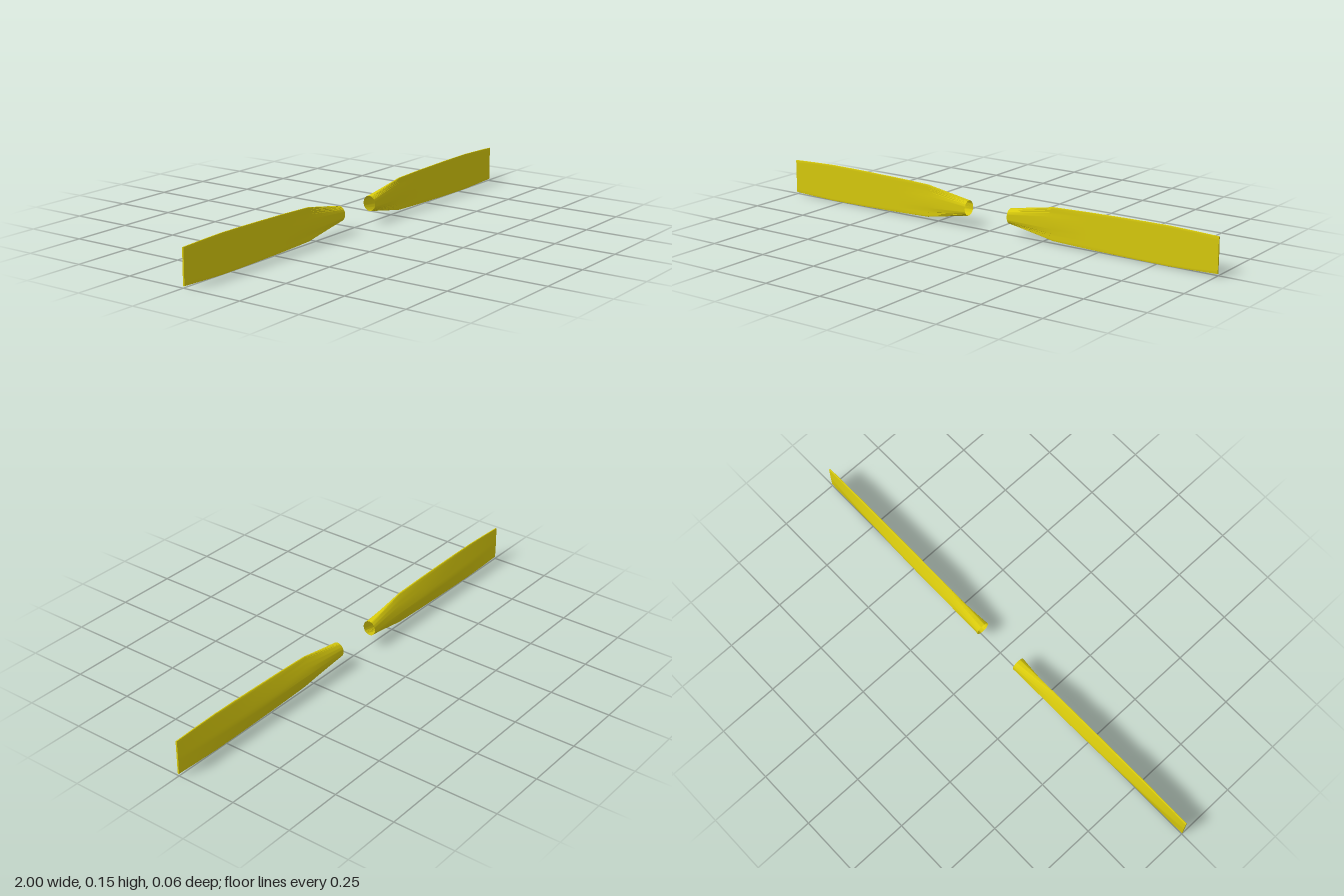
import * as THREE from 'three';
import { toCreasedNormals } from 'three/addons/utils/BufferGeometryUtils.js';

const SIDES = 40;
// stations along the blade: x, half width, depth of the back bulge
const STATIONS = [
  [0.3, 0.067, 0.027], [0.45, 0.072, 0.026], [0.6, 0.075, 0.023],
  [0.7, 0.0765, 0.019], [0.8, 0.077, 0.015], [0.9, 0.074, 0.009], [1.0, 0.07, 0.001],
];

// round socket section at the root
function rootSection(x, r) {
  return Array.from({ length: SIDES }, (_, i) => {
    const a = (i / SIDES) * Math.PI * 2;
    return [x, r * 1.1 * Math.cos(a), r * Math.sin(a)];
  });
}

// blade section: flat front, ridged back, thin rounded edges
function bladeSection([x, half, depth]) {
  return Array.from({ length: SIDES }, (_, i) => {
    const a = (i / SIDES) * Math.PI * 2;
    const s = Math.sin(a), c = Math.cos(a);
    let z = 0.003 + 0.003 * THREE.MathUtils.clamp(s * 5, -1, 1);
    if (s < 0) z -= depth * (1 - Math.pow(Math.abs(c), 1.1));
    return [x, half * c, z];
  });
}

// loft through the sections, root open, tip closed
function bladeGeometry() {
  const rings = [rootSection(0.1, 0.028), ...STATIONS.map(bladeSection)];
  const pos = rings.flat(2), index = [];
  for (let r = 0; r < rings.length - 1; r++) {
    for (let i = 0; i < SIDES; i++) {
      const j = (i + 1) % SIDES;
      const a = r * SIDES + i, b = r * SIDES + j;
      index.push(a, a + SIDES, b, b, a + SIDES, b + SIDES);
    }
  }
  const tip = (rings.length - 1) * SIDES, centre = rings.length * SIDES;
  pos.push(1, 0, 0.003);
  for (let i = 0; i < SIDES; i++) index.push(centre, tip + ((i + 1) % SIDES), tip + i);
  // wind all faces outward
  for (let k = 0; k < index.length; k += 3) {
    [index[k + 1], index[k + 2]] = [index[k + 2], index[k + 1]];
  }
  const geo = new THREE.BufferGeometry();
  geo.setAttribute('position', new THREE.Float32BufferAttribute(pos, 3));
  geo.setIndex(index);
  return toCreasedNormals(geo, 0.6);
}

export function createModel() {
  const group = new THREE.Group();
  group.name = 'propellerBlades';
  const material = new THREE.MeshStandardMaterial({ color: 0xd8ca0c, side: THREE.DoubleSide });
  const geo = bladeGeometry();
  // two blades, half a turn apart
  ['leftBlade', 'rightBlade'].forEach((name, i) => {
    const blade = new THREE.Mesh(geo, material);
    blade.name = name;
    blade.position.y = 0.08;
    blade.rotation.z = i * Math.PI;
    group.add(blade);
  });
  return group;
}
